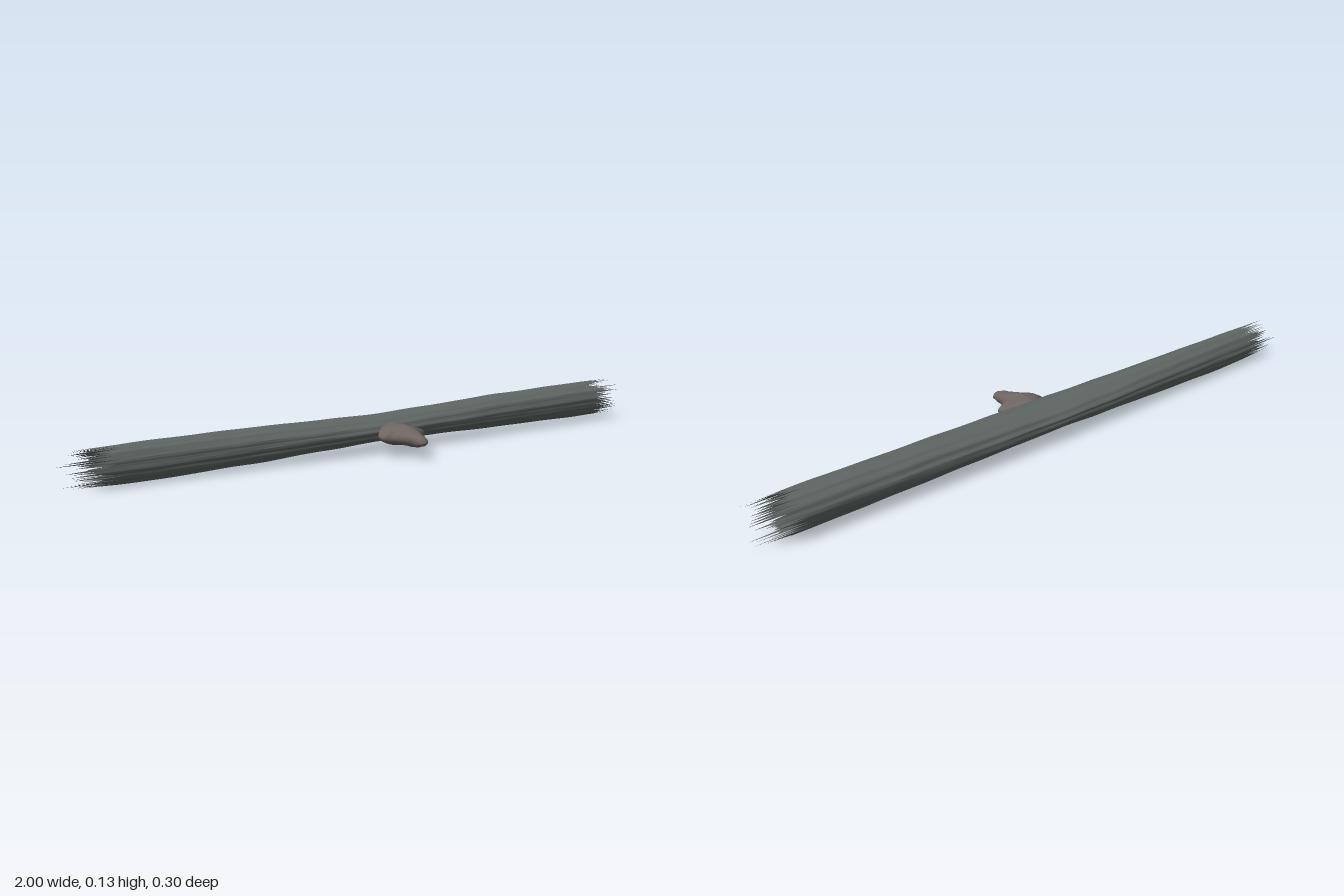
import * as THREE from 'three';

// Seeded random numbers for the broken ends
function makeRandom(seed) {
  return () => {
    seed = (seed * 1664525 + 1013904223) % 4294967296;
    return seed / 4294967296;
  };
}

// Smooth interpolation through rows of [position, ...values]
function profile(rows) {
  return (p) => {
    let i = 0;
    while (i < rows.length - 2 && p > rows[i + 1][0]) i++;
    const a = rows[i], b = rows[i + 1];
    const t = THREE.MathUtils.smoothstep(p, a[0], b[0]);
    return a.slice(1).map((v, k) => v + (b[k + 1] - v) * t);
  };
}

// Closed rings joined into one smooth surface; point(t, column) returns [x, y, z]
function loft(rings, columns, point) {
  const positions = [], index = [];
  for (let r = 0; r <= rings; r++) {
    for (let c = 0; c < columns; c++) positions.push(...point(r / rings, c));
  }
  for (let r = 0; r < rings; r++) {
    for (let c = 0; c < columns; c++) {
      const a = r * columns + c, b = r * columns + ((c + 1) % columns);
      index.push(a, b, a + columns, b, b + columns, a + columns);
    }
  }
  const geometry = new THREE.BufferGeometry();
  geometry.setAttribute('position', new THREE.Float32BufferAttribute(positions, 3));
  geometry.setIndex(index);
  geometry.computeVertexNormals();
  return geometry;
}

// Hollow trunk: x, centre y, half height, centre z, half depth
function createTrunk() {
  const section = profile([
    [-1.0, 0.058, 0.048, -0.084, 0.045],
    [-0.75, 0.057, 0.053, -0.084, 0.048],
    [-0.45, 0.060, 0.050, -0.083, 0.055],
    [-0.2, 0.064, 0.043, -0.081, 0.067],
    [0.0, 0.067, 0.038, -0.078, 0.074],
    [0.2, 0.068, 0.043, -0.080, 0.070],
    [0.5, 0.070, 0.051, -0.083, 0.063],
    [0.8, 0.071, 0.055, -0.082, 0.060],
    [1.0, 0.072, 0.054, -0.082, 0.057],
  ]);
  const columns = 112, random = makeRandom(11);
  // Every other column runs on into a splinter
  const ends = [-1, 1].map((side) => Array.from({ length: columns }, (_, c) =>
    side * (c % 2 ? 0.9 + 0.1 * random() : 0.84 + 0.07 * random())));
  const bark = Array.from({ length: columns }, () => (random() - 0.5) * 0.03);

  return loft(90, columns, (t, c) => {
    const x = THREE.MathUtils.lerp(ends[0][c], ends[1][c], t);
    const a = (c / columns) * Math.PI * 2;
    const [y, ry, z, rz] = section(x);
    // Long bark ridges with a slow waver along the trunk
    const ridge = 1 + bark[c] + 0.018 * Math.sin(a * 13 + x * 2) +
      0.012 * Math.sin(a * 5 - x * 5) + 0.008 * Math.sin(x * 31 + a * 3);
    return [x, y + ry * ridge * Math.cos(a), z + rz * ridge * Math.sin(a)];
  });
}

// Knobbly branch stub with a pointed flare on each side: z, half width, centre y, half height
function createStub() {
  const section = profile([
    [-0.03, 0.035, 0.060, 0.030],
    [0.0, 0.052, 0.060, 0.033],
    [0.022, 0.076, 0.060, 0.032],
    [0.045, 0.078, 0.061, 0.030],
    [0.062, 0.048, 0.060, 0.028],
    [0.085, 0.031, 0.058, 0.025],
    [0.115, 0.023, 0.056, 0.020],
    [0.14, 0.016, 0.054, 0.013],
    [0.148, 0.009, 0.053, 0.007],
    [0.152, 0.0, 0.053, 0.0],
  ]);
  const columns = 36;
  return loft(48, columns, (t, c) => {
    const z = -0.03 + 0.182 * t, a = (c / columns) * Math.PI * 2;
    const [w, y, h] = section(z);
    // Wide sections pinch to points at the sides
    const pinch = THREE.MathUtils.clamp((w - 0.03) / 0.05, 0, 1);
    const ca = Math.cos(a), sa = Math.sin(a);
    const lump = 1 + 0.05 * Math.sin(3 * a + z * 60);
    const x = w * Math.sign(ca) * Math.pow(Math.abs(ca), 1 + 0.9 * pinch);
    return [x * lump, y + h * sa * lump, z];
  });
}

export function createModel() {
  const model = new THREE.Group();
  model.name = 'hollowLog';

  const add = (name, geometry, color) => {
    const material = new THREE.MeshStandardMaterial({ color, side: THREE.DoubleSide });
    const mesh = new THREE.Mesh(geometry, material);
    mesh.name = name;
    model.add(mesh);
  };
  add('hollowTrunk', createTrunk(), 0x5f6765);
  add('branchStub', createStub(), 0x6e6560);
  return model;
}
